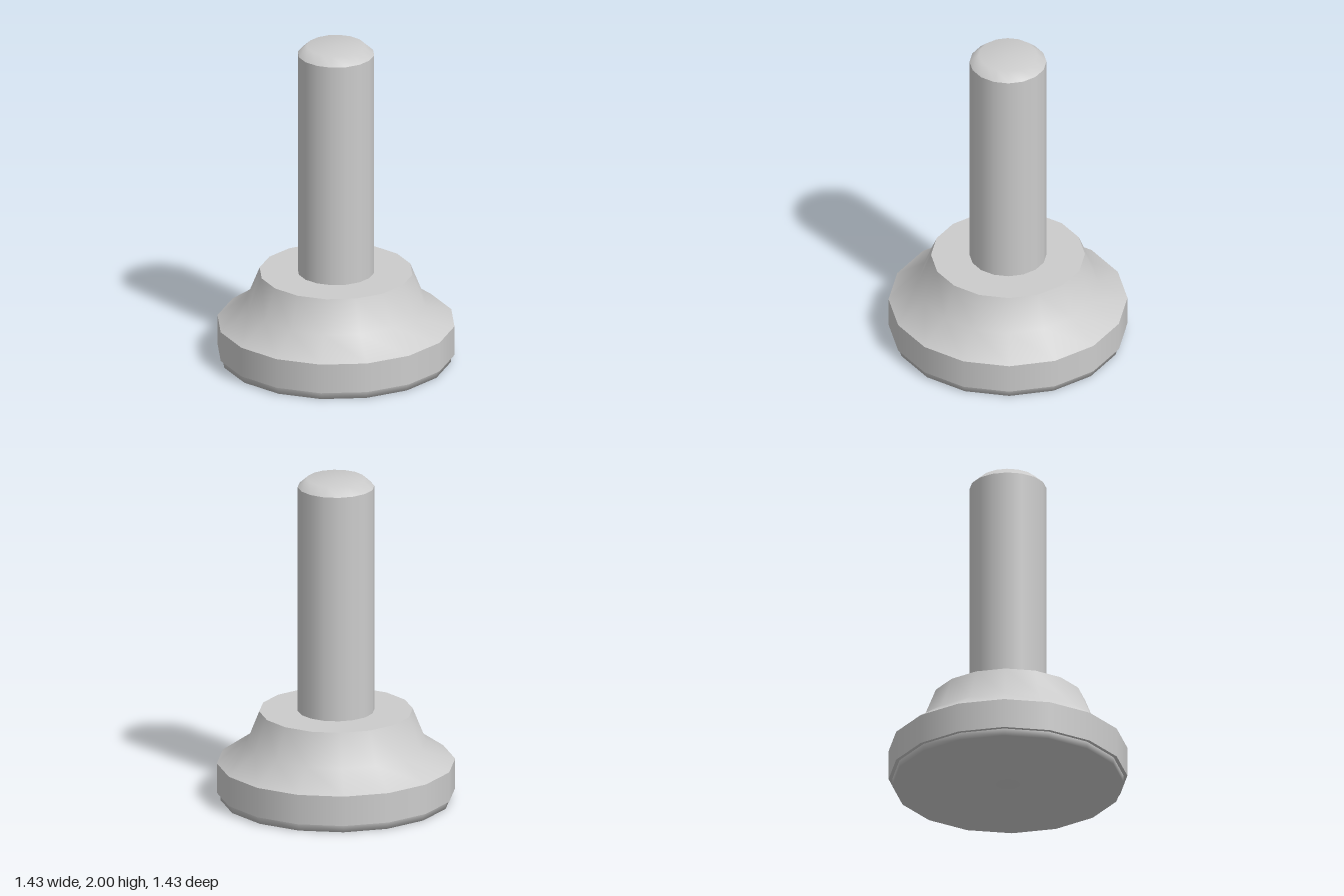
import * as THREE from 'three';
import { mergeGeometries } from 'three/addons/utils/BufferGeometryUtils.js';

const SIDES = 16;

// Each band is a [radius, height] profile, smooth within itself and creased against its neighbours.
function turned(name, material, bands) {
  const parts = bands.map((band) =>
    new THREE.LatheGeometry(band.map(([r, y]) => new THREE.Vector2(r, y)), SIDES));
  const mesh = new THREE.Mesh(mergeGeometries(parts), material);
  mesh.name = name;
  return mesh;
}

export function createModel() {
  const group = new THREE.Group();
  group.name = 'levellingFoot';
  const steel = new THREE.MeshStandardMaterial({ color: 0xcccccc });
  steel.name = 'light grey';

  // Thin pad under the base, rounded by its normals at the lower rim
  group.add(turned('pad', steel, [
    [[0, 0], [0.692, 0], [0.692, 0.05]],
  ]));

  // Base: underside lip, straight rim, flared shoulder and flat top
  group.add(turned('base', steel, [
    [[0.68, 0.046], [0.714, 0.046]],
    [[0.714, 0.046], [0.714, 0.23]],
    [[0.714, 0.23], [0.54, 0.35], [0.46, 0.55]],
    [[0.46, 0.55], [0, 0.55]],
  ]));

  // Stem with a softly shaded chamfered tip
  group.add(turned('stem', steel, [
    [[0.23, 0.55], [0.23, 1.95]],
    [[0.23, 1.95], [0.175, 2], [0, 2]],
  ]));

  return group;
}
